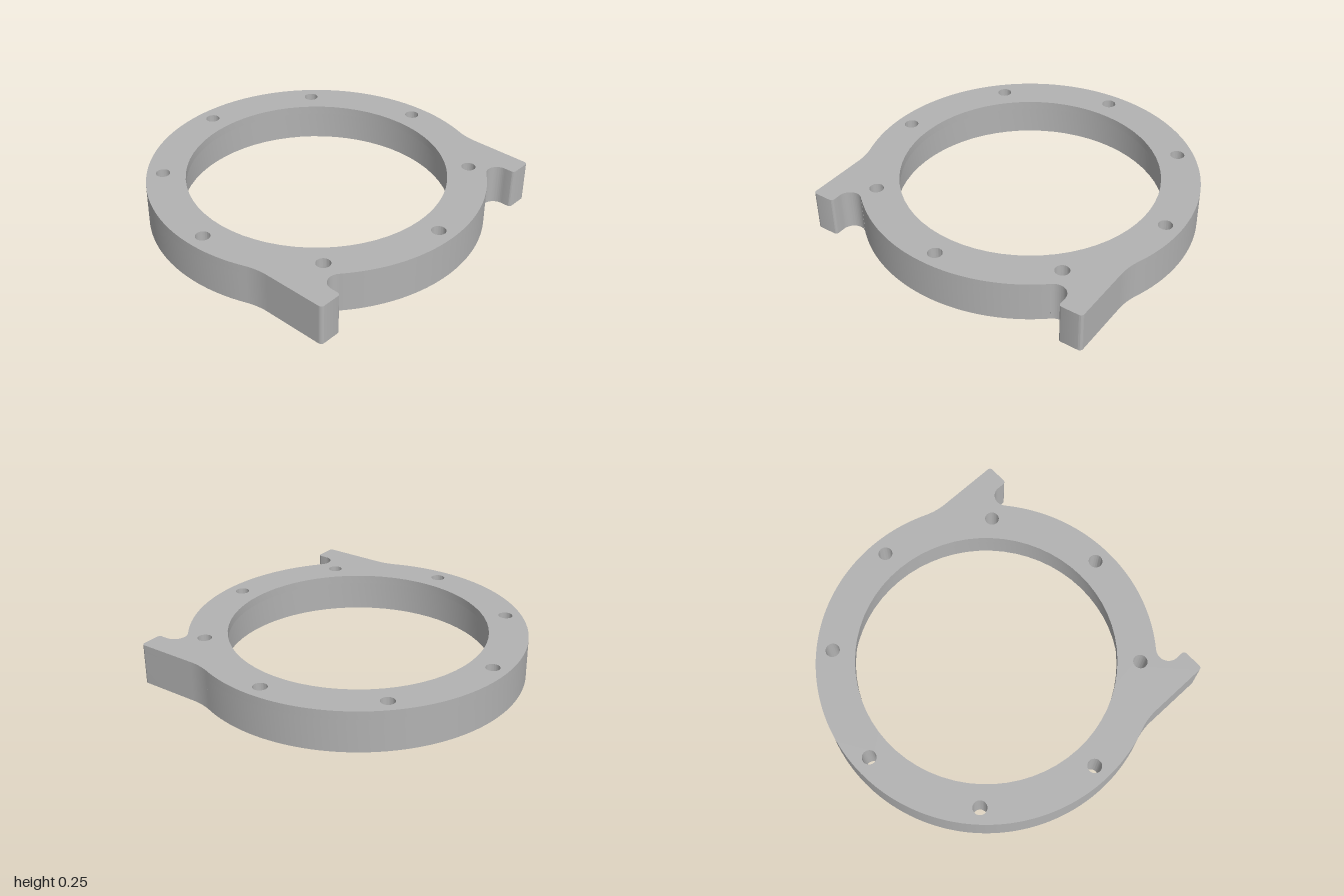
import * as THREE from 'three';
import { toCreasedNormals } from 'three/addons/utils/BufferGeometryUtils.js';

const HEIGHT = 0.245, LIP = 0.05;          // total height, thickness of the top plate
const BOLT_R = 0.904, HOLE_R = 0.042;      // bolt circle and hole radius
const rad = THREE.MathUtils.degToRad;

// Outer outline: half traced from front to back, then mirrored. Shape y is model z.
function outlinePoints() {
  const half = new THREE.Path();
  const arc = (x, y, r, a, b) => half.absarc(x, y, r, rad(a), rad(b), b < a);
  arc(0, 0, 1, 90, 49.66);                 // front rim
  arc(0.698, 0.812, 0.07, -135.6, 0);      // notch
  arc(0.788, 0.855, 0.02, 180, 90);        // lug corners
  arc(0.89, 0.855, 0.02, 90, 0);
  arc(1.31, 0.494, 0.4, 180, 200.66);      // blend back to the rim
  arc(0, 0, 1, 20.66, -90);                // side and back rim
  const pts = half.getPoints(24);
  const mirrored = pts.slice(1, -1).reverse().map(p => new THREE.Vector2(-p.x, p.y));
  return [...pts, ...mirrored];
}

function circle(x, y, r) {
  return new THREE.Path().absarc(x, y, r, 0, Math.PI * 2, false);
}

// Curved slot with round ends, following the bolt circle
function arcSlot(angle, halfSpan, halfWidth) {
  const a = angle - halfSpan, b = angle + halfSpan;
  return new THREE.Path()
    .absarc(0, 0, BOLT_R + halfWidth, a, b, false)
    .absarc(BOLT_R * Math.cos(b), BOLT_R * Math.sin(b), halfWidth, b, b + Math.PI, false)
    .absarc(0, 0, BOLT_R - halfWidth, b, a, true)
    .absarc(BOLT_R * Math.cos(a), BOLT_R * Math.sin(a), halfWidth, a + Math.PI, a + Math.PI * 2, false);
}

// One horizontal layer of the ring between two heights
function layer(name, bore, y0, y1, slotted, material) {
  const shape = new THREE.Shape(outlinePoints());
  shape.holes.push(circle(0, 0, bore));
  for (let i = 0; i < 8; i++) {
    const a = i * Math.PI / 4;
    shape.holes.push(circle(BOLT_R * Math.cos(a), BOLT_R * Math.sin(a), HOLE_R));
    if (slotted) shape.holes.push(arcSlot(a + Math.PI / 8, rad(11.6), 0.043));
  }
  const geo = new THREE.ExtrudeGeometry(shape, { depth: y1 - y0, bevelEnabled: false, curveSegments: 32 });
  geo.rotateX(Math.PI / 2).translate(0, y1, 0);
  const mesh = new THREE.Mesh(toCreasedNormals(geo, 0.5), material);
  mesh.name = name;
  return mesh;
}

export function createModel() {
  const group = new THREE.Group();
  group.name = 'mountingRing';
  const grey = new THREE.MeshStandardMaterial({ color: 0xb2b2b2 });
  grey.name = 'grey metal';
  group.add(
    layer('topPlate', 0.77, HEIGHT - LIP, HEIGHT, false, grey),
    layer('slottedBody', 0.805, 0, HEIGHT - LIP, true, grey)
  );
  return group;
}
